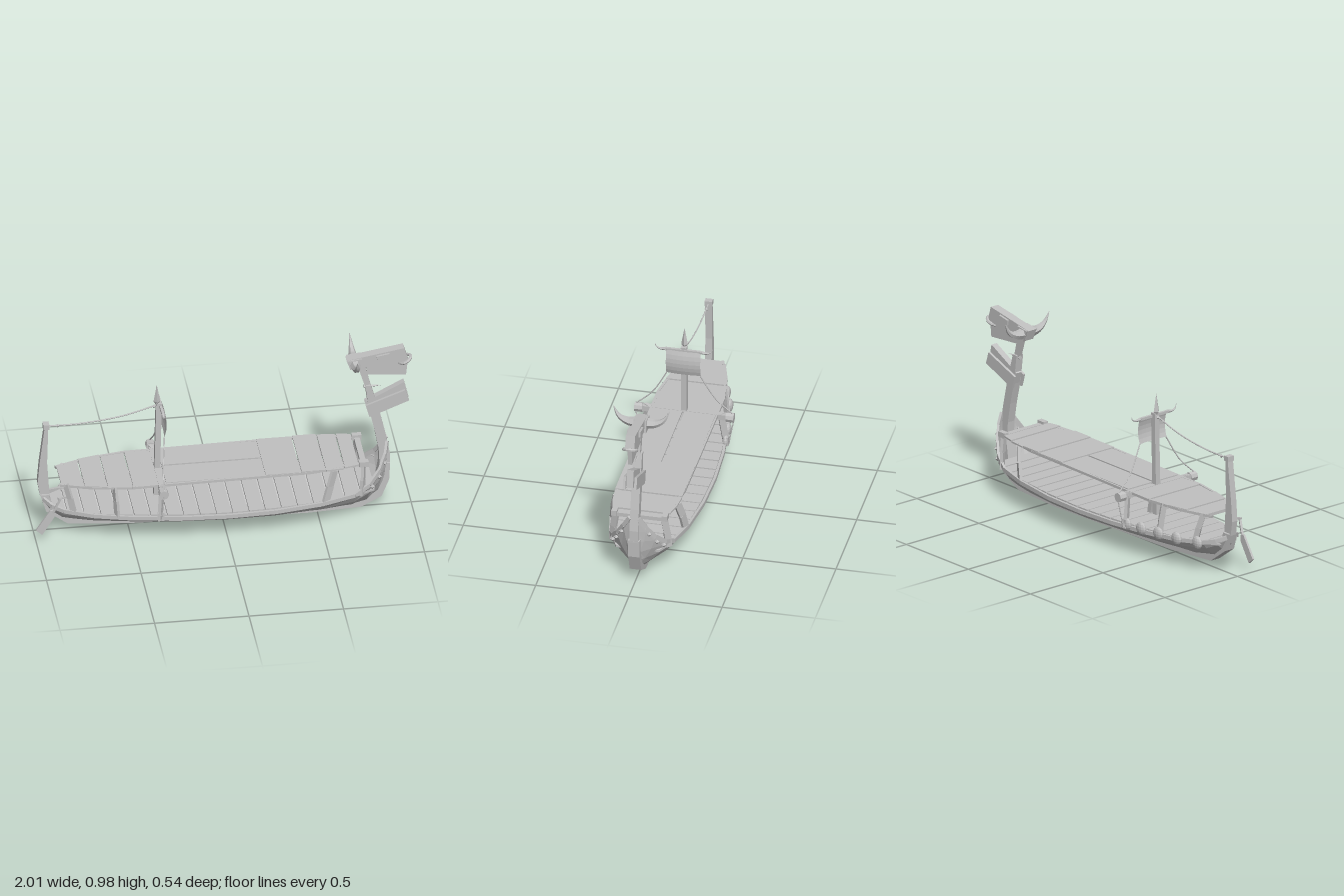
import * as THREE from 'three';

export function createModel() {
  const ship = new THREE.Group();
  ship.name = 'longship';
  const wood = new THREE.MeshStandardMaterial({ color: 0xc0c0c0, flatShading: true, side: THREE.DoubleSide });
  wood.name = 'pale grey wood';
  const V = (x, y, z) => new THREE.Vector3(x, y, z);

  const add = (name, geo, x = 0, y = 0, z = 0) => {
    const m = new THREE.Mesh(geo, wood);
    m.name = name;
    m.position.set(x, y, z);
    ship.add(m);
    return m;
  };
  // Straight timber between two points
  const beam = (name, a, b, w, h) => {
    const m = add(name, new THREE.BoxGeometry(w, h, a.distanceTo(b)));
    m.position.copy(a).lerp(b, 0.5);
    m.lookAt(b);
    return m;
  };
  // Side-on outline with thickness, centred on z
  const plate = (name, pts, t, z = 0) => {
    const s = new THREE.Shape(pts.map(p => new THREE.Vector2(p[0], p[1])));
    const g = new THREE.ExtrudeGeometry(s, { depth: t, bevelEnabled: false });
    return add(name, g.translate(0, 0, -t / 2), 0, 0, z);
  };
  // Flat board with a plan outline of (x, z) points
  const board = (name, pts, y, t) => {
    const s = new THREE.Shape(pts.map(p => new THREE.Vector2(p[0], -p[1])));
    const g = new THREE.ExtrudeGeometry(s, { depth: t, bevelEnabled: false });
    return add(name, g.rotateX(-Math.PI / 2), 0, y, 0);
  };
  // Curved tube whose radius follows a rule
  const taper = (name, pts, r, rule = () => 1, n = 12, sides = 6) => {
    const c = new THREE.CatmullRomCurve3(pts);
    const g = new THREE.TubeGeometry(c, n, r, sides);
    const p = g.attributes.position, v = V(0, 0, 0);
    for (let i = 0; i < p.count; i++) {
      const t = Math.floor(i / (sides + 1)) / n, o = c.getPointAt(t);
      v.fromBufferAttribute(p, i).sub(o).multiplyScalar(rule(t)).add(o);
      p.setXYZ(i, v.x, v.y, v.z);
    }
    return add(name, g);
  };

  // Hull stations: x, keel height, rim height, half width
  const st = [
    [-0.95, 0.17, 0.215, 0.03], [-0.91, 0.12, 0.195, 0.075], [-0.85, 0.075, 0.18, 0.11], [-0.7, 0.05, 0.168, 0.16],
    [-0.5, 0.04, 0.16, 0.198], [-0.25, 0.03, 0.155, 0.228], [0, 0.022, 0.153, 0.239], [0.25, 0.016, 0.155, 0.233],
    [0.5, 0.014, 0.165, 0.208], [0.68, 0.022, 0.18, 0.17], [0.76, 0.04, 0.22, 0.142], [0.82, 0.08, 0.28, 0.1],
    [0.855, 0.13, 0.35, 0.06], [0.87, 0.2, 0.41, 0.025]
  ];
  const at = (x, k) => {
    let i = 0;
    while (i < st.length - 2 && st[i + 1][0] < x) i++;
    const t = THREE.MathUtils.clamp((x - st[i][0]) / (st[i + 1][0] - st[i][0]), 0, 1);
    return st[i][k] + t * (st[i + 1][k] - st[i][k]);
  };
  const half = [[1, 1], [0.97, 0.84], [0.8, 0.58], [0.45, 0.26], [0.1, 0]];
  const section = [...half, ...half.slice().reverse().map(([z, y]) => [-z, y])];
  const pos = [], idx = [], n = section.length;
  st.forEach(([x, y0, y1, w], i) => section.forEach(([sz, sy], j) => {
    pos.push(x, y0 + (y1 - y0) * sy, sz * w);
    if (i < st.length - 1 && j < n - 1) {
      const a = i * n + j, b = a + n;
      idx.push(a, a + 1, b, a + 1, b + 1, b);
    }
  }));
  const hull = new THREE.BufferGeometry();
  hull.setAttribute('position', new THREE.Float32BufferAttribute(pos, 3));
  hull.setIndex(idx);
  hull.computeVertexNormals();
  add('hull', hull);

  // Keel running into the stern post and stem
  plate('keel', [[-0.5, 0.02], [0, 0.008], [0.45, 0], [0.73, 0.012], [0.84, 0.07], [0.88, 0.17], [0.885, 0.27],
    [0.83, 0.27], [0.81, 0.15], [0.7, 0.06], [0, 0.04], [-0.5, 0.06], [-0.8, 0.08], [-0.9, 0.16], [-0.92, 0.23],
    [-0.965, 0.23], [-0.935, 0.13], [-0.82, 0.045]], 0.062);
  plate('stem', [[0.83, 0.26], [0.885, 0.26], [0.884, 0.33], [0.862, 0.45], [0.832, 0.58], [0.785, 0.75],
    [0.755, 0.75], [0.775, 0.6], [0.805, 0.47], [0.825, 0.36]], 0.046);
  plate('neck', [[0.755, 0.74], [0.787, 0.74], [0.755, 0.87], [0.715, 0.87]], 0.024);
  plate('sternPost', [[-0.965, 0.22], [-0.915, 0.22], [-0.928, 0.42], [-0.922, 0.63], [-0.942, 0.63], [-0.968, 0.42], [-0.978, 0.3]], 0.036);
  add('sternPostCap', new THREE.BoxGeometry(0.032, 0.028, 0.04), -0.932, 0.64, 0);

  // Lower deck planks
  for (let i = 0; i < 20; i++) {
    const a = -0.92 + i * 0.086, b = a + 0.077, k = 0.97;
    board('deckPlank', [[a, at(a, 3) * k], [b, at(b, 3) * k], [b, -at(b, 3) * k], [a, -at(a, 3) * k]], 0.153 + 0.012 * Math.abs(a), 0.012);
  }

  // Upper deck: cross planks at the ends, long panels amidships
  const cross = (edges, y) => edges.slice(1).forEach((b, i) => {
    const a = edges[i] + 0.006, za = Math.min(0.18, at(a, 3) * 0.94), zb = Math.min(0.18, at(b, 3) * 0.94);
    board('upperPlank', [[a, za], [b, zb], [b, -zb], [a, -za]], y + 0.004 * (i % 2), 0.009);
  });
  cross([-0.87, -0.75, -0.63, -0.5, -0.32], 0.322);
  cross([0.2, 0.39, 0.52, 0.62, 0.7], 0.338);
  for (const s of [1, -1])
    board('upperPanel', [[-0.32, 0.006 * s], [0.21, 0.006 * s], [0.21, 0.172 * s], [-0.32, 0.172 * s]], 0.332, 0.009);

  for (const s of [1, -1]) {
    // Gunwale and upper side rails follow the hull curve
    for (let i = 0; i < st.length - 1; i++) {
      const [a, b] = [st[i], st[i + 1]];
      beam('gunwale', V(a[0], a[2] - 0.006, s * a[3]), V(b[0], b[2] - 0.006, s * b[3]), 0.014, 0.022);
    }
    const rx = [-0.87, -0.7, -0.5, -0.25, 0.1, 0.45, 0.75];
    rx.slice(1).forEach((b, i) => {
      const p = x => V(x, 0.323 + 0.012 * (x + 0.87), s * Math.min(0.175, at(x, 3) * 0.9));
      beam('upperRail', p(rx[i]), p(b), 0.014, 0.014);
    });
    // Leaning posts: foot x, top x, thickness
    for (const [x0, x1, w] of [[-0.8, -0.84, 0.03], [-0.58, -0.59, 0.03], [0.52, 0.57, 0.04], [0.72, 0.73, 0.036]]) {
      const z0 = at(x0, 3) * 0.97, z1 = Math.min(0.168, at(x1, 3) * 0.86);
      const foot = V(x0, 0.16, s * z0), top = V(x1, 0.33, s * z1), mid = V((x0 + x1) / 2, 0.25, s * (z0 * 0.6 + z1 * 0.4));
      beam('post', foot, mid, 0.016, w);
      beam('post', mid, top, 0.016, w);
    }
    beam('yardPost', V(-0.36, 0.15, s * 0.222), V(-0.345, 0.34, s * 0.195), 0.018, 0.034);
    add('postFoot', new THREE.BoxGeometry(0.035, 0.05, 0.02), -0.355, 0.17, s * 0.225);
    add('bowPostHead', new THREE.BoxGeometry(0.05, 0.03, 0.03), 0.73, 0.345, s * 0.135);

    // Studs on the bow cheeks
    for (const x of [0.775, 0.815, 0.848])
      add('stud', new THREE.OctahedronGeometry(0.015), x, at(x, 2) - 0.035, s * (at(x, 3) + 0.006));

    // Crossbeam ends and rigging
    add('beamEnd', new THREE.CylinderGeometry(0.026, 0.026, 0.042, 8).rotateX(Math.PI / 2), -0.345, 0.32, s * 0.245);
    taper('sailRope', [V(-0.345, 0.34, s * 0.262), V(-0.335, 0.43, s * 0.17), V(-0.318, 0.57, s * 0.09)], 0.0035);
    taper('stayRope', [V(-0.345, 0.31, s * 0.265), V(-0.35, 0.23, s * 0.25), V(-0.355, 0.15, s * 0.235)], 0.003);
    taper('yardHorn', [V(-0.325, 0.712, s * 0.09), V(-0.325, 0.709, s * 0.125), V(-0.325, 0.72, s * 0.147), V(-0.325, 0.742, s * 0.155)],
      0.009, t => 1.05 - t);

    // Horns and jaw sides of the figurehead
    taper('horn', [V(0.7, 0.89, s * 0.025), V(0.7, 0.893, s * 0.075), V(0.7, 0.918, s * 0.12), V(0.695, 0.975, s * 0.152)],
      0.03, t => 1.03 - t);
    plate('lowerJawSide', [[0.755, 0.635], [0.965, 0.715], [0.985, 0.65], [0.775, 0.565]], 0.014, s * 0.03);
    add('brow', new THREE.BoxGeometry(0.07, 0.03, 0.014), 0.85, 0.925, s * 0.03).rotation.z = 0.17;
  }

  // Beams across the ship
  beam('crossbeam', V(-0.345, 0.322, -0.235), V(-0.345, 0.322, 0.235), 0.032, 0.03);
  beam('bowBeam', V(0.73, 0.335, -0.14), V(0.73, 0.335, 0.14), 0.03, 0.022);
  beam('sternBeam', V(-0.84, 0.318, -0.1), V(-0.84, 0.318, 0.1), 0.025, 0.018);

  // Mast, finial, yard and bowed sail
  beam('mast', V(-0.35, 0.12, 0), V(-0.335, 0.73, 0), 0.03, 0.03);
  beam('mastBrace', V(-0.3, 0.16, 0), V(-0.335, 0.34, 0), 0.03, 0.025);
  add('mastSpear', new THREE.ConeGeometry(0.018, 0.1, 4), -0.345, 0.79, 0);
  add('mastSpearBase', new THREE.ConeGeometry(0.018, 0.03, 4).rotateX(Math.PI), -0.345, 0.725, 0);
  beam('yard', V(-0.325, 0.711, -0.1), V(-0.325, 0.711, 0.1), 0.014, 0.014);
  const sail = new THREE.PlaneGeometry(0.185, 0.14, 6, 6).rotateY(Math.PI / 2);
  const sp = sail.attributes.position;
  for (let i = 0; i < sp.count; i++) {
    const u = sp.getY(i) / 0.07, w = sp.getZ(i) / 0.0925;
    sp.setX(i, 0.014 * (1 - u * u) + 0.006 * (1 - w * w));
  }
  sail.computeVertexNormals();
  add('sail', sail, -0.32, 0.64, 0);
  taper('sternRope', [V(-0.925, 0.637, 0), V(-0.75, 0.638, 0), V(-0.53, 0.665, 0), V(-0.335, 0.72, 0)], 0.004, undefined, 20);
  for (const [x, y] of [[-0.87, 0.635], [-0.36, 0.71]])
    add('ropeKnot', new THREE.OctahedronGeometry(0.011), x, y, 0);

  // Figurehead: skull, upper jaw, lower jaw, tongue and nose ring
  plate('skull', [[0.655, 0.915], [0.96, 0.967], [0.985, 0.885], [0.675, 0.858]], 0.05);
  plate('upperJaw', [[0.76, 0.87], [0.982, 0.89], [0.972, 0.795], [0.768, 0.812]], 0.022);
  plate('browCap', [[0.66, 0.915], [0.69, 0.85], [0.745, 0.855], [0.735, 0.925]], 0.07);
  plate('lowerJaw', [[0.76, 0.65], [0.962, 0.755], [0.985, 0.66], [0.78, 0.58]], 0.036);
  add('tongue', new THREE.ConeGeometry(0.012, 0.1, 4).rotateZ(-Math.PI / 2), 0.8, 0.735, 0);
  const ring = add('noseRing', new THREE.TorusGeometry(0.034, 0.009, 6, 14), 0.968, 0.885, 0);
  ring.rotation.x = Math.PI / 2;
  ring.rotation.y = 0.5;

  // Round shields along the far stern quarter
  for (const x of [-0.82, -0.7, -0.58, -0.465, -0.36])
    add('shield', new THREE.SphereGeometry(0.036, 12, 8), x, 0.168, -at(x, 3) - 0.004).scale.z = 0.5;

  // Steering oar
  beam('oarShaft', V(-0.91, 0.17, 0.112), V(-0.872, 0.262, 0.125), 0.012, 0.012);
  beam('oarHandle', V(-0.885, 0.262, 0.125), V(-0.83, 0.255, 0.1), 0.01, 0.01);
  plate('oarBlade', [[-1, 0.07], [-0.968, 0.04], [-0.9, 0.15], [-0.905, 0.185], [-0.925, 0.185]], 0.012, 0.11);
  return ship;
}
